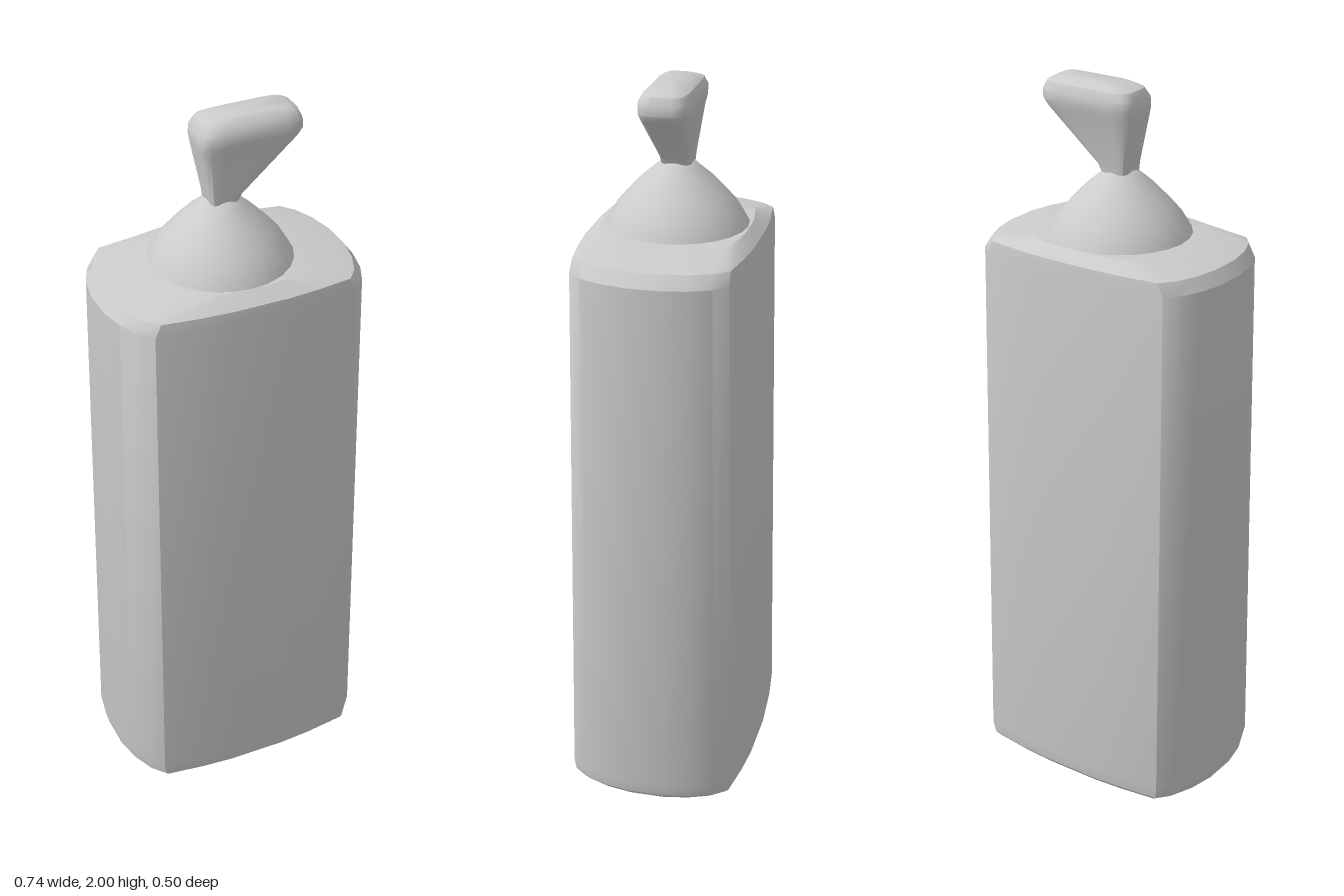
import * as THREE from 'three';
import { toCreasedNormals } from 'three/addons/utils/BufferGeometryUtils.js';

const material = new THREE.MeshStandardMaterial({ color: 0xcccccc });

// One quarter of each plan outline, as fractions of the half width and half depth.
const bodyQuarter = [[1, 0.2], [0.96, 0.5], [0.89, 0.75], [0.8, 0.91], [0.5, 0.97], [0.24, 1]];
const nozzleQuarter = [[1, 0.45], [0.96, 0.72], [0.86, 0.9], [0.6, 1]];

// Mirrors a quarter into a closed outline running from +x towards +z.
function mirrorQuarter(quarter) {
  const half = [...quarter, ...quarter.slice().reverse().map(([x, z]) => [-x, z])];
  return [...half, ...half.map(([x, z]) => [-x, -z])];
}

// Joins scaled outlines stacked in y: each ring is [y, minX, maxX, minZ, maxZ].
function loft(outline, rings, crease) {
  const n = outline.length;
  const positions = [];
  const indices = [];
  for (const [y, x0, x1, z0, z1] of rings) {
    for (const [u, v] of outline) {
      positions.push((x0 + x1) / 2 + u * (x1 - x0) / 2, y, (z0 + z1) / 2 + v * (z1 - z0) / 2);
    }
  }
  for (const [y, x0, x1, z0, z1] of [rings[0], rings[rings.length - 1]]) {
    positions.push((x0 + x1) / 2, y, (z0 + z1) / 2);
  }
  const bottom = rings.length * n;
  const last = bottom - n;
  for (let i = 0; i < n; i++) {
    const j = (i + 1) % n;
    for (let r = 0; r < rings.length - 1; r++) {
      const a = r * n + i, b = r * n + j;
      indices.push(a, a + n, b, b, a + n, b + n);
    }
    indices.push(bottom, i, j, bottom + 1, last + j, last + i);
  }
  const geometry = new THREE.BufferGeometry();
  geometry.setAttribute('position', new THREE.Float32BufferAttribute(positions, 3));
  geometry.setIndex(indices);
  return toCreasedNormals(geometry, crease);
}

function addPart(group, name, geometry) {
  const mesh = new THREE.Mesh(geometry, material);
  mesh.name = name;
  group.add(mesh);
  return mesh;
}

export function createModel() {
  const group = new THREE.Group();
  group.name = 'pumpBottle';

  // Slightly tapered body with softened base and low sloping shoulders
  addPart(group, 'body', loft(mirrorQuarter(bodyQuarter), [
    [0, -0.345, 0.345, -0.235, 0.235],
    [0.015, -0.362, 0.36, -0.248, 0.246],
    [0.05, -0.37, 0.367, -0.254, 0.25],
    [1.535, -0.36, 0.356, -0.233, 0.233],
    [1.57, -0.338, 0.33, -0.23, 0.23],
    [1.598, -0.2, 0.19, -0.2, 0.19],
  ], 0.5));

  // Domed collar rising to a narrow neck
  const profile = [[0.2, 1.57], [0.192, 1.6], [0.165, 1.645], [0.135, 1.68],
    [0.095, 1.722], [0.06, 1.752], [0.036, 1.775], [0, 1.785]];
  const dome = new THREE.LatheGeometry(profile.map(([r, y]) => new THREE.Vector2(r, y)), 24);
  addPart(group, 'collar', dome).position.set(-0.01, 0, -0.003);

  // Flared pump head whose spout reaches out to one side
  addPart(group, 'pumpHead', loft(mirrorQuarter(nozzleQuarter), [
    [1.765, -0.05, 0.03, -0.046, 0.036],
    [1.785, -0.052, 0.04, -0.048, 0.038],
    [1.92, -0.079, 0.192, -0.073, 0.055],
    [1.94, -0.081, 0.205, -0.079, 0.06],
    [1.965, -0.079, 0.205, -0.08, 0.06],
    [1.988, -0.066, 0.195, -0.07, 0.047],
    [2, -0.03, 0.175, -0.05, 0.03],
  ], 0.6));

  return group;
}
